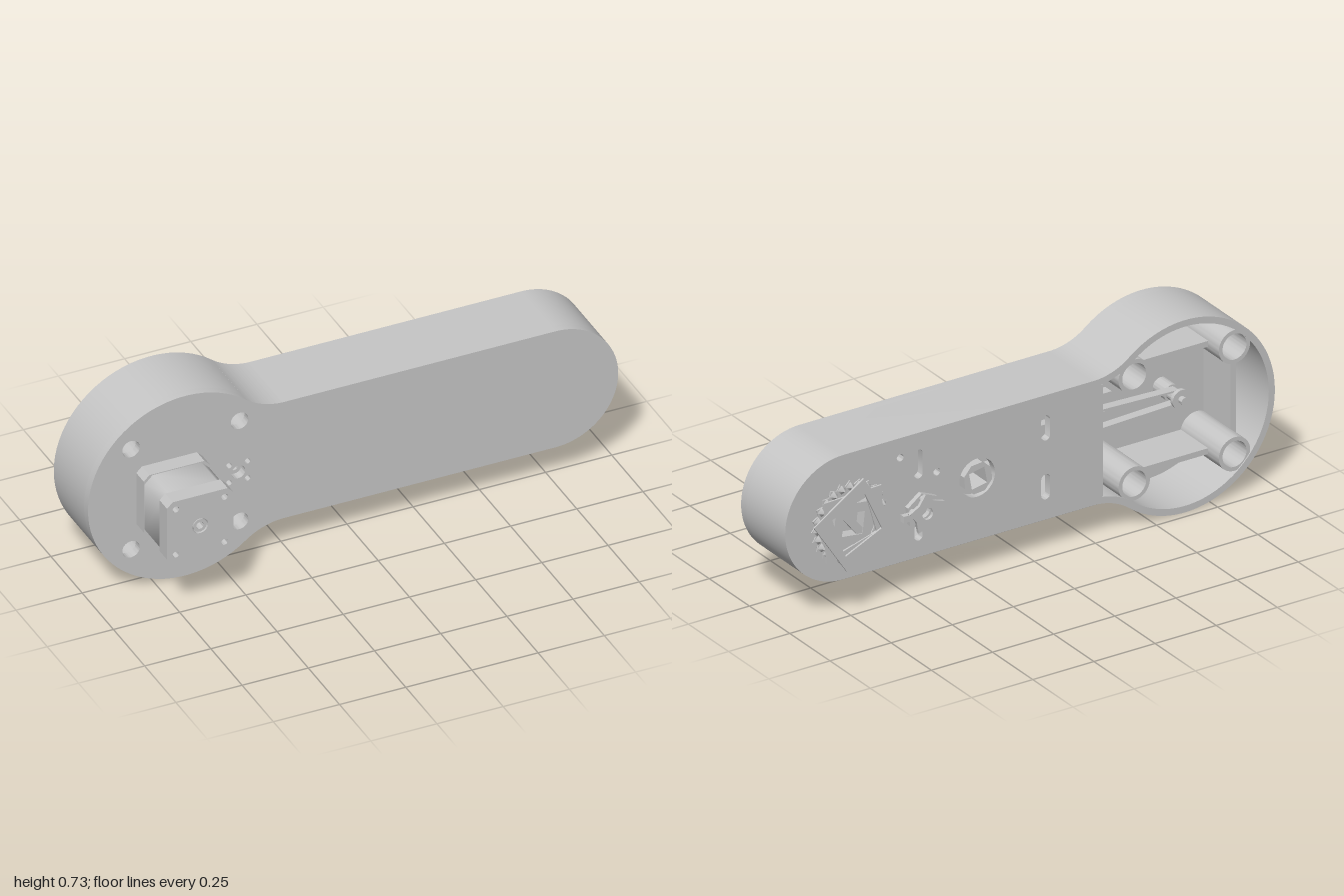
import * as THREE from 'three';
import { toCreasedNormals } from 'three/addons/utils/BufferGeometryUtils.js';

const CY = 0.3675, HEAD_X = -0.635, TIP_X = 0.7625, MOTOR_X = -0.695, IDLER_X = 0.215;
const FRONT = 0.052, BACK = -0.222, FLOOR = 0.02;

// Keyhole outline of the arm, inset by w
function outline(w) {
  const s = new THREE.Shape(), arm = 0.2375 - w, head = 0.3675 - w, fil = 0.238 + w, a = Math.atan2(0.4755, 0.375);
  s.moveTo(-0.26, CY + arm);
  s.lineTo(TIP_X, CY + arm);
  s.absarc(TIP_X, CY, arm, Math.PI / 2, -Math.PI / 2, true);
  s.lineTo(-0.26, CY - arm);
  s.absarc(-0.26, CY - 0.4755, fil, Math.PI / 2, Math.PI - a, false);
  s.absarc(HEAD_X, CY, head, -a, a, true);
  s.absarc(-0.26, CY + 0.4755, fil, a - Math.PI, -Math.PI / 2, false);
  return s;
}

function circle(x, y, r, Type = THREE.Path) {
  return new Type().absarc(x, y, r, 0, Math.PI * 2, false);
}

// Upright slot
function slot(x, y, r, half) {
  const p = new THREE.Path();
  p.absarc(x, y + half, r, 0, Math.PI, false);
  p.absarc(x, y - half, r, Math.PI, Math.PI * 2, false);
  p.closePath();
  return p;
}

// Regular polygon, with alternate points pulled in to r2 for teeth
function polygon(x, y, n, r, turn = 0, r2 = r, Type = THREE.Shape) {
  const pts = [];
  for (let i = 0; i < n; i++) {
    const a = turn + i / n * Math.PI * 2, q = i % 2 ? r2 : r;
    pts.push(new THREE.Vector2(x + q * Math.cos(a), y + q * Math.sin(a)));
  }
  return new Type(pts);
}

// Square with cut corners
function cutSquare(x, y, h, c) {
  const k = h - c;
  return new THREE.Shape([[h, -k], [h, k], [k, h], [-k, h], [-h, k], [-h, -k], [-k, -h], [k, -h]]
    .map(([u, v]) => new THREE.Vector2(x + u, y + v)));
}

export function createModel() {
  const model = new THREE.Group();
  const grey = new THREE.MeshStandardMaterial({ color: 0xc6c6c6 });
  grey.name = 'plain grey';

  function add(name, geometry, parent = model) {
    const mesh = new THREE.Mesh(geometry, grey);
    mesh.name = name;
    parent.add(mesh);
    return mesh;
  }
  function slab(name, shape, z0, z1, holes = [], parent = model, crease = 0.6) {
    shape.holes.push(...holes);
    const g = new THREE.ExtrudeGeometry(shape, { depth: z1 - z0, bevelEnabled: false, curveSegments: 28 });
    g.translate(0, 0, z0);
    return add(name, toCreasedNormals(g, crease), parent);
  }
  function box(name, x, y, z, w, h, d, parent) {
    const m = add(name, new THREE.BoxGeometry(w, h, d), parent);
    m.position.set(x, y, z);
    return m;
  }
  function group(name) {
    const g = new THREE.Group();
    g.name = name;
    model.add(g);
    return g;
  }

  // Housing: front plate, side wall, rear cover over the arm
  const corners = [[-0.84, 0.575], [-0.43, 0.575], [-0.84, 0.165], [-0.43, 0.165]];
  const frontHoles = corners.map(([x, y]) => circle(x, y, 0.033));
  frontHoles.push(circle(-0.435, CY, 0.026));
  for (const u of [-1, 1]) for (const v of [-1, 1])
    frontHoles.push(circle(-0.435 + u * 0.035, CY + v * 0.035, 0.011));
  slab('frontPlate', outline(0), FLOOR, FRONT, frontHoles);
  const cavity = new THREE.Path(outline(0.025).getPoints(28).reverse());
  slab('sideWall', outline(0), BACK, FLOOR, [cavity]);

  const cover = new THREE.Shape();
  cover.moveTo(-0.3, CY - 0.214);
  cover.lineTo(TIP_X, CY - 0.214);
  cover.absarc(TIP_X, CY, 0.214, -Math.PI / 2, Math.PI / 2, false);
  cover.lineTo(-0.3, CY + 0.214);
  slab('rearCover', cover, BACK, BACK + 0.03, [
    slot(-0.065, 0.48, 0.018, 0.03), slot(-0.065, 0.255, 0.018, 0.03),
    slot(0.455, 0.485, 0.017, 0.038), slot(0.455, 0.225, 0.017, 0.015),
    circle(0.53, 0.53, 0.014), circle(0.38, 0.435, 0.014), circle(IDLER_X, CY, 0.073),
  ]);

  // Screw bosses and the ribs between them
  const inside = group('headInterior');
  corners.forEach(([x, y], i) => {
    slab('screwBoss', circle(x, y, 0.064, THREE.Shape), BACK + 0.004, FLOOR, [circle(x, y, 0.049)], inside);
    slab('screwSeat', circle(x, y, 0.049, THREE.Shape), -0.1, -0.09,
      [polygon(x, y, 3, 0.036, i * 0.5, 0.036, THREE.Path)], inside);
  });
  for (const y of [0.575, 0.165]) box('rib', HEAD_X, y, -0.065, 0.3, 0.022, 0.17, inside);
  box('rib', -0.88, CY, -0.065, 0.022, 0.32, 0.17, inside);

  // Motor: two end caps and a narrower middle
  const motor = group('motor');
  const screwHoles = [];
  for (const u of [-1, 1]) for (const v of [-1, 1])
    screwHoles.push(circle(MOTOR_X + u * 0.092, CY + v * 0.092, 0.012));
  slab('motorFrontCap', cutSquare(MOTOR_X, CY, 0.125, 0.021), 0.238, 0.298,
    [...screwHoles, circle(MOTOR_X, CY, 0.03)], motor);
  slab('motorMiddle', cutSquare(MOTOR_X, CY, 0.122, 0.03), 0.11, 0.24, [], motor, 0.9);
  slab('motorRearCap', cutSquare(MOTOR_X, CY, 0.125, 0.021), FRONT, 0.112, [], motor);
  slab('motorBearing', circle(MOTOR_X, CY, 0.025, THREE.Shape), 0.238, 0.296,
    [circle(MOTOR_X, CY, 0.014)], motor);

  // Belt drive inside the arm
  const drive = group('beltDrive');
  slab('motorShaft', circle(MOTOR_X, CY, 0.014, THREE.Shape), -0.13, FLOOR, [], drive);
  for (const [z0, z1, r] of [[-0.05, FLOOR, 0.032], [-0.095, -0.05, 0.024], [-0.11, -0.095, 0.036]])
    slab('motorPulley', circle(MOTOR_X, CY, r, THREE.Shape), z0, z1, [circle(MOTOR_X, CY, 0.012)], drive);
  const span = IDLER_X - MOTOR_X, r0 = 0.025, r1 = 0.055;
  for (const s of [-1, 1]) {
    const belt = box('belt', (IDLER_X + MOTOR_X) / 2, CY + s * (r0 + r1) / 2, -0.072, span, 0.007, 0.035, drive);
    belt.rotation.z = s * Math.atan2(r1 - r0, span);
  }
  slab('armPulley', circle(IDLER_X, CY, 0.054, THREE.Shape), -0.14, FLOOR, [circle(IDLER_X, CY, 0.025)], drive);
  slab('armPulleyRim', polygon(IDLER_X, CY, 8, 0.06, 0.3), -0.228, -0.14,
    [polygon(IDLER_X, CY, 4, 0.045, 0.6, 0.045, THREE.Path)], drive);
  slab('hub', polygon(-0.435, CY, 6, 0.066), -0.02, FLOOR, [circle(-0.435, CY, 0.012)], drive);

  // Tensioner on the rear cover
  const tension = group('tensioner');
  const tx = 0.445, ty = 0.31;
  slab('tensionerBase', polygon(tx, ty, 6, 0.07, 0.4), -0.24, BACK, [circle(tx, ty, 0.025)], tension);
  slab('tensionerTop', polygon(tx, ty, 10, 0.075, 0.2, 0.05), -0.265, -0.253, [circle(tx, ty, 0.022)], tension);
  for (let i = 0; i < 5; i++) {
    const a = i / 5 * Math.PI * 2 + 0.2;
    slab('tensionerPin', circle(tx + 0.05 * Math.cos(a), ty + 0.05 * Math.sin(a), 0.012, THREE.Shape),
      -0.262, BACK, [], tension);
  }
  box('tensionerArm', 0.515, ty, -0.25, 0.05, 0.025, 0.02, tension);

  // Output sprocket: flared base, pointed teeth, angular plates
  const sprocket = group('outputSprocket');
  const hole = (n, r, t) => polygon(TIP_X, CY, n, r, t, r, THREE.Path);
  const base = add('flaredBase', new THREE.CylinderGeometry(0.13, 0.162, 0.02, 10), sprocket);
  base.rotation.x = -Math.PI / 2;
  base.rotation.x = Math.PI / 2;
  base.position.set(TIP_X, CY, -0.233);
  slab('toothedRing', polygon(TIP_X, CY, 48, 0.157, 0, 0.14), -0.264, -0.259, [hole(24, 0.11, 0)], sprocket);
  for (let i = 0; i < 24; i++) {
    const a = i / 24 * Math.PI * 2;
    for (const s of [-1, 1]) {
      const tooth = add('tooth', new THREE.ConeGeometry(0.017, 0.02, 4), sprocket);
      tooth.rotation.x = s * Math.PI / 2;
      tooth.position.set(TIP_X + 0.135 * Math.cos(a), CY + 0.135 * Math.sin(a), -0.2615 + s * 0.0125);
    }
  }
  slab('squarePlate', polygon(TIP_X, CY, 4, 0.165, 0.75), -0.29, -0.283, [hole(4, 0.105, 0.5)], sprocket);
  slab('topPlate', polygon(TIP_X, CY, 4, 0.172, 0.2), -0.298, -0.291, [hole(4, 0.115, 0.35)], sprocket);
  slab('centreFrame', polygon(TIP_X, CY, 4, 0.11, 0.9), -0.285, -0.23, [hole(4, 0.06, 0.9)], sprocket);
  const bar = box('crossBar', TIP_X, CY, -0.275, 0.2, 0.03, 0.012, sprocket);
  bar.rotation.z = 0.9;

  return model;
}
